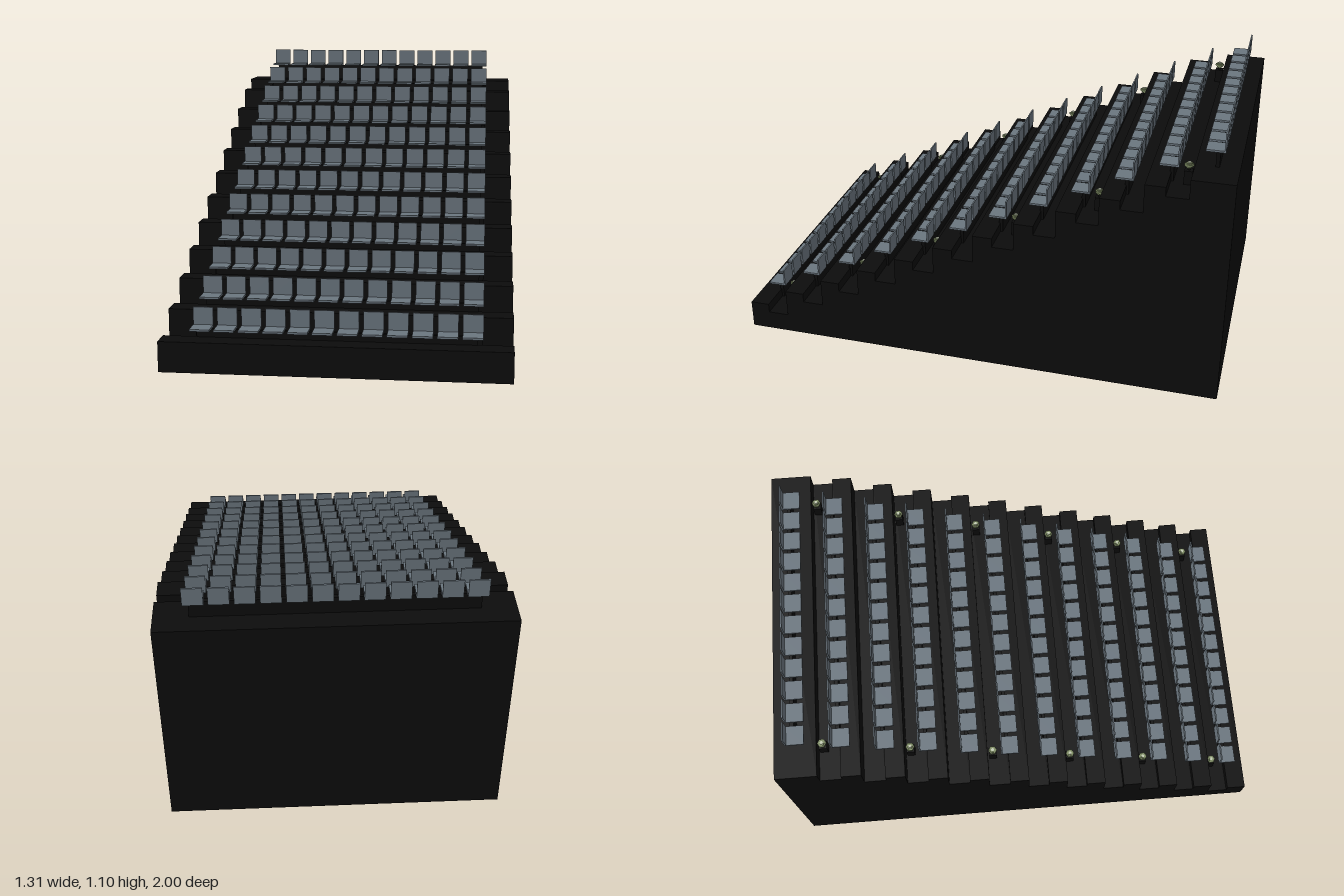
import * as THREE from 'three';

const ROWS = 12, SEATS = 12;
const DEPTH = 2 / ROWS, RISE = 0.0791, WIDTH = 1.312;

const mat = (name, color) => {
  const m = new THREE.MeshStandardMaterial({ color });
  m.name = name;
  return m;
};

export function createModel() {
  const black = mat('black', 0x0c0c0c);
  const grey = mat('seat grey', 0x6b767f);
  const green = mat('sage green', 0x7c8a62);
  const pale = mat('pale green', 0xc4ccb4);

  const root = new THREE.Group();
  root.name = 'grandstand';

  const add = (parent, name, geometry, material, x, y, z) => {
    const mesh = new THREE.Mesh(geometry, material);
    mesh.name = name;
    mesh.position.set(x, y, z);
    parent.add(mesh);
    return mesh;
  };

  // Stepped base: each row has a raised kerb in front of a lower tread
  const profile = new THREE.Shape();
  profile.moveTo(1, 0);
  for (let i = 0; i < ROWS; i++) {
    const z = 1 - i * DEPTH, tread = 0.08 + i * RISE;
    if (i < ROWS - 1) {
      profile.lineTo(z, tread + 0.038);
      profile.lineTo(z - 0.08, tread + 0.038);
      profile.lineTo(z - 0.08, tread);
    } else {
      profile.lineTo(z, tread);
    }
    profile.lineTo(z - DEPTH, tread);
  }
  profile.lineTo(-1, 0);
  profile.closePath();
  const baseGeo = new THREE.ExtrudeGeometry(profile, { depth: WIDTH, bevelEnabled: false });
  baseGeo.translate(0, 0, -WIDTH / 2);
  baseGeo.rotateY(-Math.PI / 2);
  add(root, 'steppedBase', baseGeo, black, 0, 0, 0);

  const panelGeo = new THREE.BoxGeometry(1.05, 0.07, 0.015);
  const panGeo = new THREE.BoxGeometry(0.076, 0.008, 0.074);
  const backGeo = new THREE.BoxGeometry(0.076, 0.075, 0.006);
  const postGeo = new THREE.BoxGeometry(0.032, 0.056, 0.032);
  const neckGeo = new THREE.CylinderGeometry(0.006, 0.006, 0.016, 6);
  const headGeo = new THREE.CylinderGeometry(0.012, 0.012, 0.02, 6);
  const rimGeo = new THREE.CylinderGeometry(0.018, 0.018, 0.009, 6);
  const capGeo = new THREE.CylinderGeometry(0.007, 0.007, 0.003, 6);

  for (let i = 0; i < ROWS; i++) {
    const row = new THREE.Group();
    row.name = 'row' + (i + 1);
    row.position.set(0, 0.08 + i * RISE, 1 - i * DEPTH);
    root.add(row);

    // Bench support and its seats
    add(row, 'seatSupport', panelGeo, black, 0, 0.035, -0.082);
    for (let j = 0; j < SEATS; j++) {
      const x = (j - (SEATS - 1) / 2) * 0.0921;
      add(row, 'seat', panGeo, grey, x, 0.073, -0.073);
      add(row, 'backrest', backGeo, grey, x, 0.1075, -0.107);
    }

    // Small bollard lights at both ends of every second row
    if (i % 2 === 0) {
      for (const side of [-1, 1]) {
        const light = new THREE.Group();
        light.name = 'bollardLight';
        light.position.set(side * 0.525, 0, -0.145);
        row.add(light);
        add(light, 'post', postGeo, black, 0, 0.028, 0);
        add(light, 'neck', neckGeo, black, 0, 0.062, 0);
        add(light, 'lampHead', headGeo, green, 0, 0.076, 0);
        add(light, 'lampRim', rimGeo, green, 0, 0.077, 0);
        add(light, 'lampCap', capGeo, pale, 0, 0.0872, 0);
      }
    }
  }
  return root;
}
